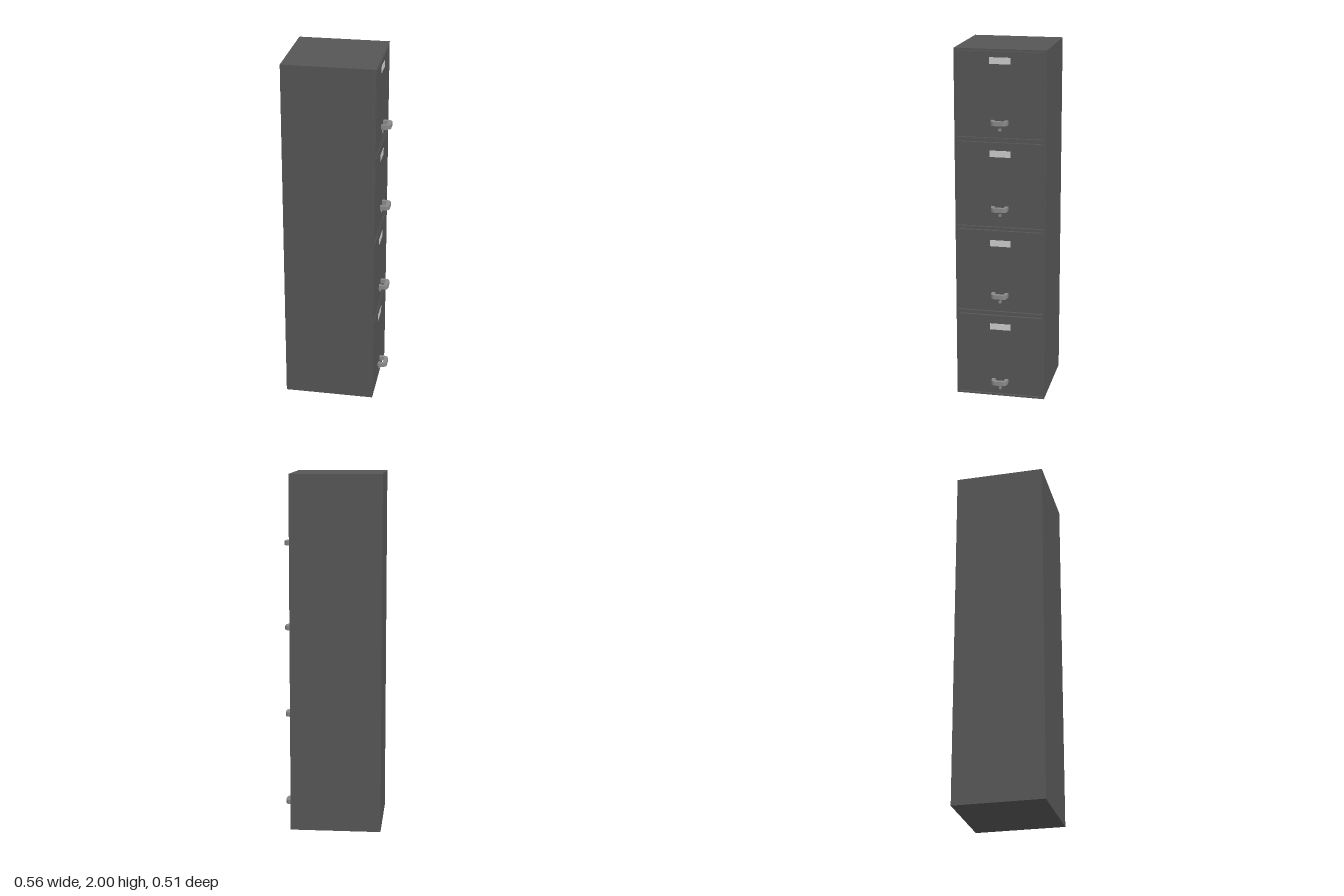
import * as THREE from 'three';

const FRONT = 0.228, BACK = -0.281, HALF = 0.254;

const paint = (color) => new THREE.MeshStandardMaterial({ color, flatShading: true });

function addBox(parent, name, material, [x0, x1], [y0, y1], [z0, z1]) {
  const mesh = new THREE.Mesh(new THREE.BoxGeometry(x1 - x0, y1 - y0, z1 - z0), material);
  mesh.position.set((x0 + x1) / 2, (y0 + y1) / 2, (z0 + z1) / 2);
  mesh.name = name;
  parent.add(mesh);
  return mesh;
}

function rect(target, w, y0, y1) {
  target.moveTo(-w, y0);
  target.lineTo(w, y0);
  target.lineTo(w, y1);
  target.lineTo(-w, y1);
  target.closePath();
  return target;
}

// D-shaped pull, drawn in plan (x outward, shape y across) and extruded upward
function handleGeometry() {
  const out = 0.053, w = 0.047, inner = 0.03, innerW = 0.027;
  const s = new THREE.Shape();
  s.moveTo(0, -w);
  s.lineTo(0.015, -w);
  s.quadraticCurveTo(out - 0.002, -w, out, -0.022);
  s.lineTo(out, 0.022);
  s.quadraticCurveTo(out - 0.002, w, 0.015, w);
  s.lineTo(0, w);
  s.lineTo(0, innerW);
  s.lineTo(inner, innerW);
  s.lineTo(inner, -innerW);
  s.lineTo(0, -innerW);
  s.closePath();
  const g = new THREE.ExtrudeGeometry(s, { depth: 0.024, bevelEnabled: false, curveSegments: 8 });
  g.translate(0, 0, -0.012);
  g.rotateX(-Math.PI / 2);
  return g;
}

export function createModel() {
  const model = new THREE.Group();
  model.name = 'filingCabinet';
  const dark = paint(0x555555), metal = paint(0x888888), pale = paint(0xcccccc);

  // bottom, top, handle, lock and label heights of each drawer
  const drawers = [
    { y0: 0.016, y1: 0.488, handle: 0.095, lock: 0.05, label: 0.423 },
    { y0: 0.52, y1: 0.99, handle: 0.618, lock: 0.575, label: 0.918 },
    { y0: 1.018, y1: 1.49, handle: 1.122, lock: 1.082, label: 1.428 },
    { y0: 1.522, y1: 1.988, handle: 1.605, lock: 1.563, label: 1.938 },
  ];

  // Cabinet shell, with a front frame open at each drawer
  const recess = 0.015;
  addBox(model, 'cabinetBody', dark, [BACK, FRONT - recess], [0, 2], [-HALF, HALF]);
  const face = rect(new THREE.Shape(), HALF, 0, 2);
  for (const d of drawers) {
    face.holes.push(rect(new THREE.Path(), 0.245, d.y0 - 0.007, d.y1 + 0.007));
  }
  const frameGeometry = new THREE.ExtrudeGeometry(face, { depth: recess, bevelEnabled: false });
  frameGeometry.rotateY(Math.PI / 2);
  const frame = new THREE.Mesh(frameGeometry, dark);
  frame.position.x = FRONT - recess;
  frame.name = 'frontFrame';
  model.add(frame);

  // Drawers with label plate, pull and lock
  const pull = handleGeometry();
  const lockGeometry = new THREE.CylinderGeometry(0.009, 0.009, 0.008, 12).rotateZ(-Math.PI / 2);
  drawers.forEach((d, i) => {
    const drawer = new THREE.Group();
    drawer.name = `drawer${i + 1}`;
    addBox(drawer, 'drawerFront', dark, [FRONT - recess, FRONT + 0.001], [d.y0, d.y1], [-0.236, 0.236]);
    addBox(drawer, 'labelPlate', pale, [FRONT - 0.002, FRONT + 0.003],
      [d.label - 0.018, d.label + 0.018], [-0.058, 0.058]);
    const handle = new THREE.Mesh(pull, metal);
    handle.position.set(FRONT, d.handle, 0);
    handle.name = 'handle';
    const lock = new THREE.Mesh(lockGeometry, metal);
    lock.position.set(FRONT + 0.003, d.lock, 0);
    lock.name = 'lock';
    drawer.add(handle, lock);
    model.add(drawer);
  });

  return model;
}
